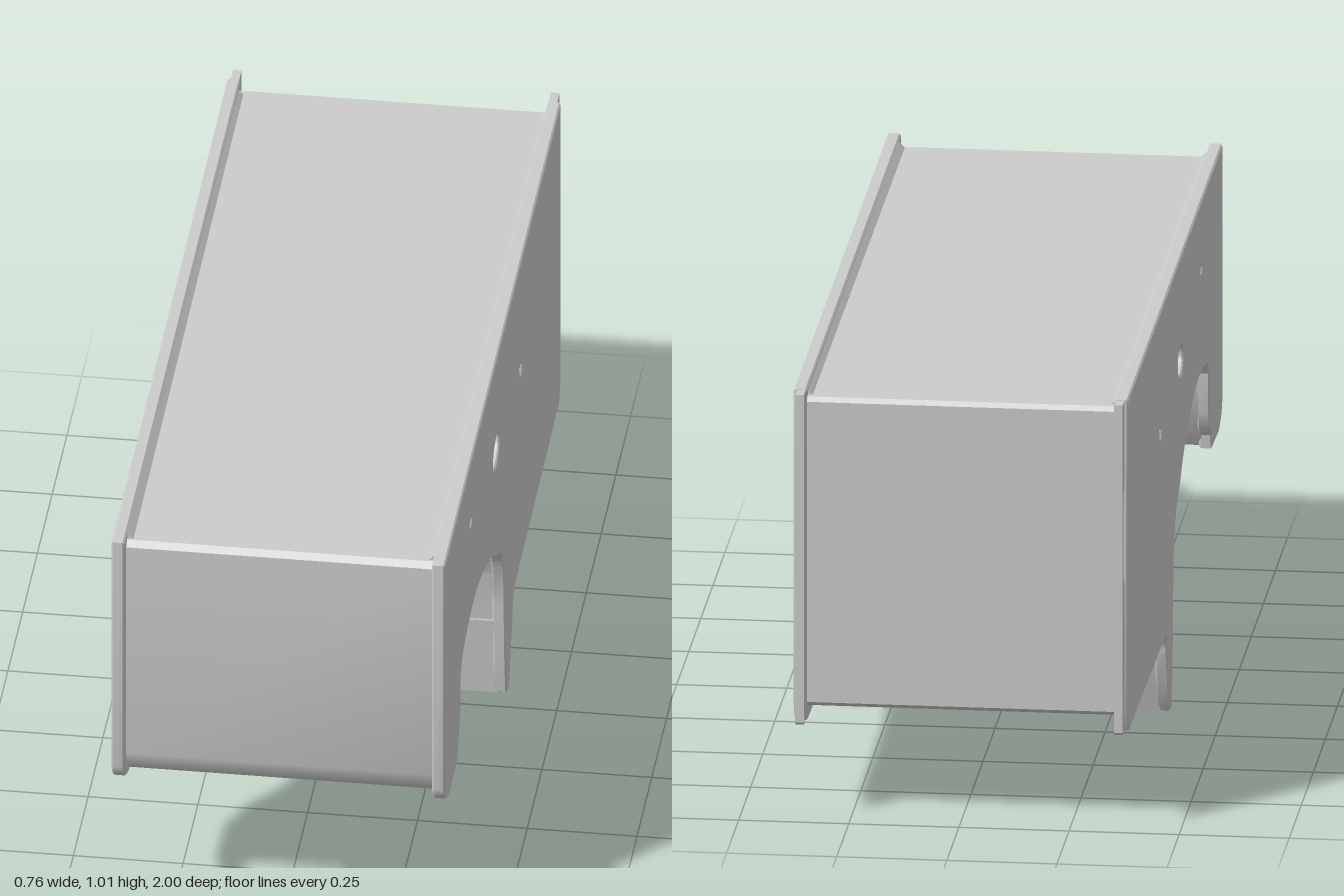
import * as THREE from 'three';
import { toCreasedNormals } from 'three/addons/utils/BufferGeometryUtils.js';

const material = new THREE.MeshStandardMaterial({ color: 0xcccccc, side: THREE.DoubleSide });

const vecs = (pts) => pts.map(([a, b]) => new THREE.Vector2(a, b));

function addMesh(parent, name, geometry) {
  const mesh = new THREE.Mesh(toCreasedNormals(geometry, 0.6), material);
  mesh.name = name;
  parent.add(mesh);
  return mesh;
}

// Extrudes a profile drawn in (z, y) across the range x0..x1
function extrudeAcross(shape, x0, x1, bevel = 0) {
  const geo = new THREE.ExtrudeGeometry(shape, {
    depth: x1 - x0 - 2 * bevel, curveSegments: 10, bevelEnabled: bevel > 0,
    bevelThickness: bevel, bevelSize: bevel, bevelOffset: -bevel, bevelSegments: 1,
  });
  geo.rotateY(-Math.PI / 2);
  geo.translate(x1 - bevel, 0, 0);
  return geo;
}

function ellipseHole(cx, cy, rx, ry, tilt = 0) {
  const path = new THREE.Path();
  path.absellipse(cx, cy, rx, ry, 0, Math.PI * 2, true, tilt);
  return path;
}

// Wheel arch line, from the front foot back to the top of the prong
const arch = (lift) => vecs([[0.73, 0.55], [0.69, 0.585], [0.6, 0.602], [0.5, 0.608], [0.4, 0.595],
  [0.3, 0.565], [0.2, 0.53], [0.12, 0.48], [0.05, 0.445], [0.01, 0.4], [-0.015, 0.34]]
  .map(([z, y]) => [z, y + lift]));

// Dents pressed into the side plates: z, y, radius z, radius y, tilt
const dents = [[0.13, 0.77, 0.055, 0.036, -0.1], [-0.285, 0.73, 0.02, 0.017, 0], [0.56, 0.85, 0.02, 0.009, 0]];

function sidePlateShape() {
  const shape = new THREE.Shape();
  shape.moveTo(-0.96, 1.015);
  shape.lineTo(-0.96, 0.27);
  shape.lineTo(-0.935, 0.226);
  shape.lineTo(-0.2, 0.213);
  shape.quadraticCurveTo(-0.15, 0.21, -0.148, 0.16);
  shape.lineTo(-0.115, 0.08);
  shape.lineTo(-0.092, 0.015);
  shape.quadraticCurveTo(-0.07, -0.005, -0.05, 0.012);
  shape.lineTo(-0.034, 0.1);
  shape.lineTo(-0.022, 0.25);
  shape.lineTo(-0.015, 0.34);
  shape.splineThru(arch(0).reverse().slice(1));
  shape.lineTo(0.738, 0.45);
  shape.quadraticCurveTo(0.755, 0.4, 0.778, 0.39);
  shape.lineTo(0.782, 0.357);
  shape.lineTo(0.92, 0.352);
  shape.quadraticCurveTo(0.99, 0.365, 1, 0.41);
  shape.lineTo(1, 1.01);
  for (const d of dents) shape.holes.push(ellipseHole(...d));
  return shape;
}

function bodyShape() {
  const shape = new THREE.Shape();
  shape.moveTo(-0.955, 0.985);
  shape.lineTo(-0.955, 0.275);
  shape.lineTo(-0.935, 0.262);
  shape.lineTo(-0.22, 0.262);
  shape.lineTo(-0.15, 0.215);
  shape.lineTo(-0.03, 0.215);
  shape.lineTo(-0.015, 0.35);
  shape.splineThru(arch(0.01).reverse().slice(1));
  shape.lineTo(0.738, 0.45);
  shape.lineTo(0.79, 0.362);
  shape.lineTo(0.92, 0.362);
  shape.lineTo(0.955, 0.39);
  shape.lineTo(0.97, 0.43);
  shape.lineTo(0.97, 0.98);
  shape.lineTo(0.955, 0.992);
  shape.lineTo(-0.945, 0.995);
  return shape;
}

// Hanging panel behind the arch, tapering to its lower edge
function crossPanelGeometry() {
  const top = 0.216, bottom = 0.008;
  const shape = new THREE.Shape(vecs([[-0.358, bottom], [0.358, bottom], [0.358, top], [-0.358, top]]));
  shape.holes.push(ellipseHole(-0.343, 0.17, 0.013, 0.035));
  const geo = new THREE.ExtrudeGeometry(shape, { depth: 1, bevelEnabled: false, curveSegments: 10 });
  const pos = geo.attributes.position;
  for (let i = 0; i < pos.count; i++) {
    const t = (pos.getY(i) - bottom) / (top - bottom);
    const front = THREE.MathUtils.lerp(-0.052, -0.025, t);
    const back = THREE.MathUtils.lerp(-0.09, -0.155, t);
    pos.setZ(i, pos.getZ(i) > 0.5 ? front : back);
  }
  geo.computeVertexNormals();
  return geo;
}

export function createModel() {
  const model = new THREE.Group();
  model.name = 'bodyShell';

  addMesh(model, 'centreBody', extrudeAcross(bodyShape(), -0.356, 0.356));
  addMesh(model, 'crossPanel', crossPanelGeometry());

  const plate = sidePlateShape();
  for (const side of [-1, 1]) {
    const group = new THREE.Group();
    group.name = side > 0 ? 'leftSide' : 'rightSide';
    model.add(group);
    const x = (a, b) => (side > 0 ? [a, b] : [-b, -a]);

    addMesh(group, 'sidePlate', extrudeAcross(plate, ...x(0.35, 0.38), 0.004));

    // Narrow flange standing out behind the rear wall
    const flange = new THREE.Shape(vecs([[-0.95, 1.014], [-0.95, 0.25], [-0.97, 0.29], [-0.99, 0.232],
      [-1, 0.24], [-1, 1.015]]));
    if (side < 0) flange.holes.push(ellipseHole(-0.972, 0.7, 0.01, 0.13));
    addMesh(group, 'rearFlange', extrudeAcross(flange, ...x(0.352, 0.372)));

    // Soft fillets where the body runs into the plate at front and top
    const fillet = new THREE.Shape(vecs([[0, 0], [0.018, 0], [0, 0.018]]));
    const topFillet = new THREE.ExtrudeGeometry(fillet, { depth: 1.88, bevelEnabled: false });
    topFillet.rotateZ(side > 0 ? Math.PI / 2 : 0);
    topFillet.translate(side * 0.352, 0.99, -0.93);
    addMesh(group, 'topFillet', topFillet);
  }
  return model;
}
